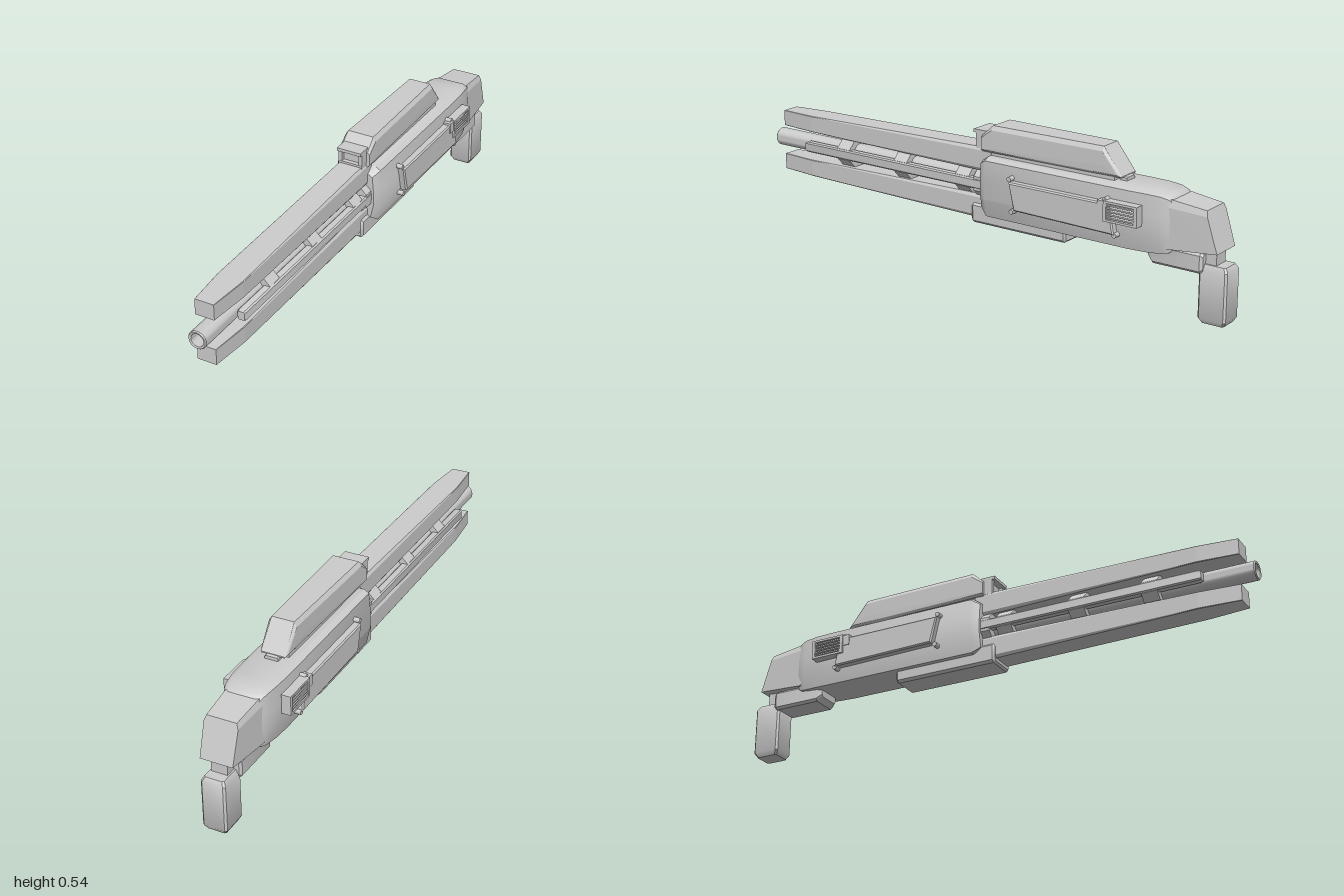
import * as THREE from 'three';
import { toCreasedNormals } from 'three/addons/utils/BufferGeometryUtils.js';
import { ConvexGeometry } from 'three/addons/geometries/ConvexGeometry.js';

const gunmetal = new THREE.MeshStandardMaterial({ color: 0xcccccc });
gunmetal.name = 'gunmetal';

// Mirrored cross-section facing z, from the [x, y] corners of one side
function section(z, corners) {
  return corners.flatMap(([x, y]) => [new THREE.Vector3(x, y, z), new THREE.Vector3(-x, y, z)]);
}

// Eight-sided cross-section facing z: half width, bottom, top, corner cuts
function ring(z, w, y0, y1, cx = 0.01, cy = cx) {
  return section(z, [[w, y0 + cy], [w, y1 - cy], [w - cx, y1], [w - cx, y0]]);
}

// Eight-sided cross-section facing y: half width, back, front, corner cut
function ringY(y, w, z0, z1, c) {
  return ring(0, w, z0, z1, c).map(p => new THREE.Vector3(p.x, y, p.y));
}

// Receiver cross-section: slightly barrelled sides, half width w, bottom y0, top y1
function receiverRing(z, w, y0, y1) {
  const h = y1 - y0;
  return section(z, [[w * 0.72, y1], [w * 0.93, y1 - h * 0.05], [w, y0 + h * 0.62],
    [w, y0 + h * 0.3], [w * 0.84, y0]]);
}

export function createModel() {
  const model = new THREE.Group();
  model.name = 'longGun';

  function add(name, geometry, x = 0, y = 0, z = 0) {
    const mesh = new THREE.Mesh(geometry, gunmetal);
    mesh.name = name;
    mesh.position.set(x, y, z);
    model.add(mesh);
    return mesh;
  }
  const hull = (name, ...rings) => add(name, new ConvexGeometry(rings.flat()));
  const softHull = (name, ...rings) => add(name, toCreasedNormals(new ConvexGeometry(rings.flat()), 0.6));
  const box = (name, w, h, d, x, y, z) => add(name, new THREE.BoxGeometry(w, h, d), x, y, z);

  // Receiver with bevelled nose and rounded rear shoulders
  softHull('receiver',
    receiverRing(-0.02, 0.074, 0.235, 0.41),
    receiverRing(-0.05, 0.092, 0.214, 0.43),
    receiverRing(-0.64, 0.092, 0.214, 0.43),
    receiverRing(-0.71, 0.089, 0.216, 0.43),
    receiverRing(-0.76, 0.082, 0.219, 0.427),
    receiverRing(-0.785, 0.075, 0.223, 0.42),
    receiverRing(-0.797, 0.068, 0.232, 0.41));

  // Slanted butt block
  hull('buttBlock',
    section(-0.78, [[0.062, 0.412], [0.071, 0.385], [0.071, 0.24]]),
    section(-0.922, [[0.055, 0.396]]),
    section(-0.928, [[0.062, 0.376]]),
    section(-0.967, [[0.06, 0.255]]));

  // Underside blocks
  softHull('foreBlock',
    ring(0.032, 0.051, 0.178, 0.24, 0.008), ring(0.024, 0.058, 0.171, 0.245, 0.009),
    ring(-0.365, 0.058, 0.171, 0.245, 0.009), ring(-0.373, 0.051, 0.178, 0.24, 0.008));
  softHull('rearBlock',
    ring(-0.70, 0.045, 0.19, 0.245, 0.008), ring(-0.72, 0.055, 0.173, 0.245, 0.009),
    ring(-0.9, 0.055, 0.173, 0.245, 0.009), ring(-0.91, 0.048, 0.18, 0.24, 0.008));

  // Hanging grip and its neck
  softHull('grip',
    ringY(0, 0.035, -0.985, -0.902, 0.006), ringY(0.018, 0.045, -0.997, -0.892, 0.007),
    ringY(0.19, 0.045, -0.997, -0.892, 0.007), ringY(0.206, 0.036, -0.987, -0.9, 0.006));
  box('gripNeck', 0.06, 0.08, 0.05, 0, 0.225, -0.925);

  // Long rails above and below the barrel
  hull('upperRail',
    ring(0.95, 0.036, 0.378, 0.437, 0.001), ring(0.8, 0.049, 0.377, 0.439, 0.002),
    ring(-0.05, 0.05, 0.365, 0.454, 0.008, 0.012));
  hull('lowerRail',
    ring(0.95, 0.036, 0.205, 0.265, 0.001), ring(0.8, 0.049, 0.203, 0.266, 0.002),
    ring(-0.05, 0.05, 0.188, 0.279, 0.008, 0.012));

  // Hollow barrel
  const bore = [[0.034, -0.03], [0.034, 0.996], [0.031, 1], [0.027, 1], [0.024, 0.998], [0.024, 0.85]];
  const tube = new THREE.LatheGeometry(bore.map(([r, y]) => new THREE.Vector2(r, y)), 24);
  tube.rotateX(Math.PI / 2);
  add('barrel', toCreasedNormals(tube, 0.6), 0, 0.32, 0);
  add('borePlug', new THREE.CircleGeometry(0.025, 24), 0, 0.32, 0.852);

  // Octagonal clamps and collar round the barrel
  for (const z of [0.63, 0.355, 0.07])
    hull('barrelClamp', ring(z - 0.03, 0.061, 0.27, 0.37, 0.03), ring(z + 0.03, 0.061, 0.27, 0.37, 0.03));
  hull('barrelCollar', ring(-0.025, 0.064, 0.262, 0.378, 0.032), ring(0.015, 0.064, 0.262, 0.378, 0.032));

  // Top housing, with sloped ends and bevelled edges
  hull('topHousing',
    ring(-0.015, 0.06, 0.442, 0.5, 0.008), ring(-0.06, 0.06, 0.442, 0.541, 0.01, 0.016),
    ring(-0.515, 0.052, 0.46, 0.541, 0.01, 0.016), ring(-0.57, 0.05, 0.442, 0.464, 0.008),
    ring(-0.588, 0.045, 0.442, 0.447, 0.002));
  box('housingBase', 0.09, 0.03, 0.52, 0, 0.432, -0.3);
  hull('housingLip', ring(-0.57, 0.025, 0.425, 0.45, 0.004), ring(-0.598, 0.025, 0.425, 0.442, 0.004));

  // Front sight: a hooded frame with a recessed window
  box('sightHood', 0.094, 0.012, 0.055, 0, 0.509, 0);
  box('sightSill', 0.094, 0.014, 0.04, 0, 0.454, -0.002);
  box('sightWindow', 0.07, 0.05, 0.02, 0, 0.48, -0.008);
  for (const s of [1, -1]) box('sightPost', 0.014, 0.046, 0.038, s * 0.04, 0.481, -0.002);

  for (const s of [1, -1]) {
    // Side rods along the barrel
    const rod = softHull('sideRod',
      ring(0.82, 0.013, 0.304, 0.336, 0.004), ring(0.812, 0.016, 0.301, 0.339, 0.005),
      ring(-0.03, 0.016, 0.301, 0.339, 0.005));
    rod.position.x = s * 0.05;

    // Raised side panel with bevelled rim
    const panel = (x, inset) => [[-0.172, 0.37], [-0.195, 0.27], [-0.605, 0.264], [-0.585, 0.37]]
      .map(([z, y]) => new THREE.Vector3(s * x,
        y + (y > 0.3 ? -inset : inset), z + (z > -0.4 ? -inset : inset)));
    hull('sidePanel', panel(0.085, 0), panel(0.112, 0), panel(0.117, 0.005));

    // Corner bolts
    for (const [z, y] of [[-0.172, 0.379], [-0.182, 0.263], [-0.605, 0.262], [-0.565, 0.379]]) {
      const bolt = new THREE.CylinderGeometry(0.009, 0.009, 0.03, 12);
      bolt.rotateZ(Math.PI / 2);
      add('panelBolt', bolt, s * 0.097, y, z);
    }

    // Vent box: backing, frame and slats
    const cz = -0.633, cy = 0.345;
    box('ventBack', 0.018, 0.066, 0.125, s * 0.094, cy, cz);
    for (const e of [1, -1]) {
      box('ventFrame', 0.034, 0.008, 0.13, s * 0.107, cy + e * 0.032, cz);
      box('ventFrame', 0.034, 0.072, 0.012, s * 0.107, cy, cz + e * 0.06);
    }
    for (let i = 0; i < 5; i++)
      box('ventSlat', 0.032, 0.005, 0.11, s * 0.106, cy - 0.022 + i * 0.011, cz);
    box('ventShoulder', 0.03, 0.04, 0.03, s * 0.105, 0.358, -0.556);
  }
  return model;
}
